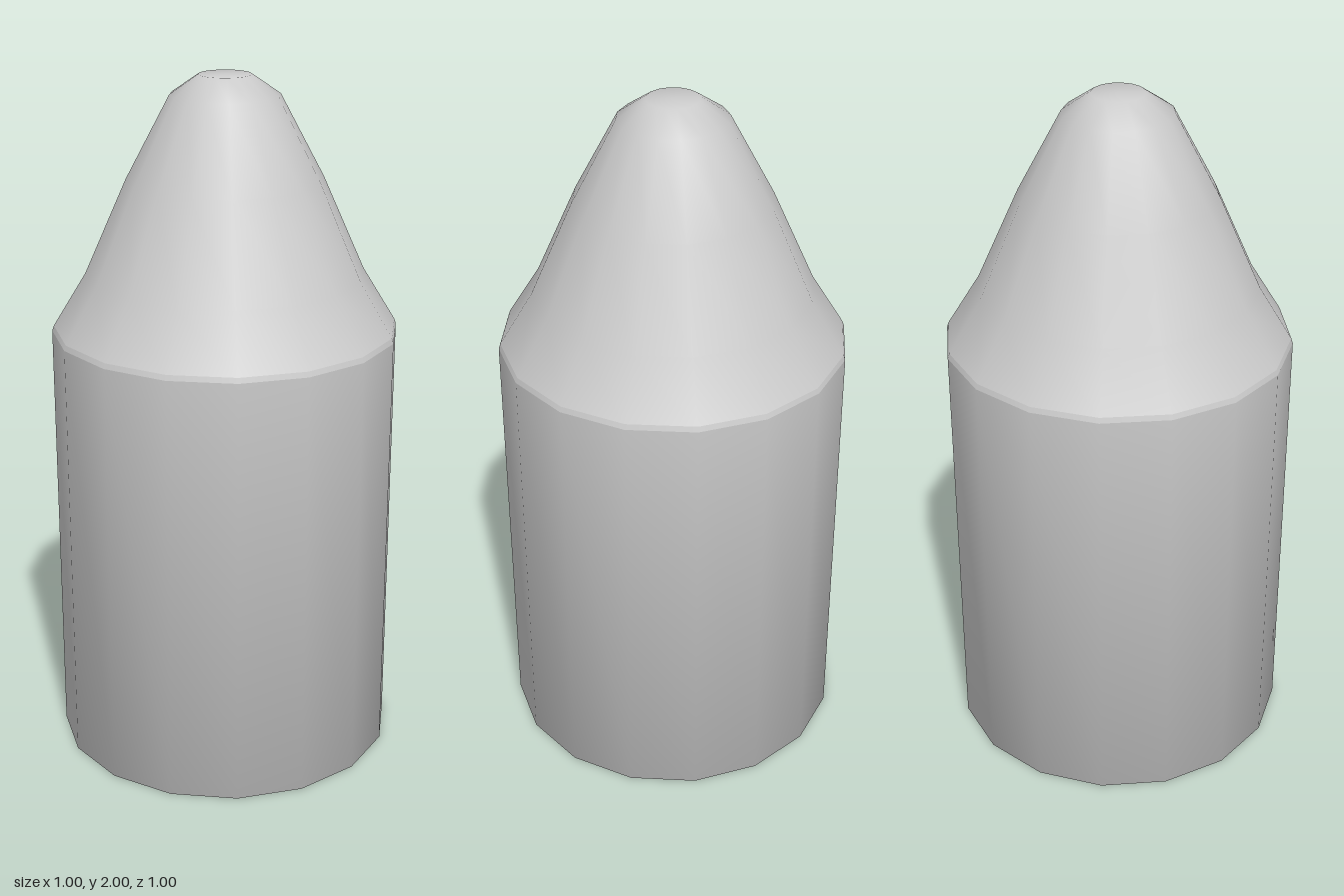
import * as THREE from 'three';

const SIDES = 16;

// Revolve a profile of [radius, height] pairs, listed from bottom to top
function revolve(name, profile, material) {
  const points = profile.map(([r, y]) => new THREE.Vector2(r, y));
  const mesh = new THREE.Mesh(new THREE.LatheGeometry(points, SIDES), material);
  mesh.name = name;
  return mesh;
}

export function createModel() {
  const group = new THREE.Group();
  group.name = 'roundNosedCylinder';
  const grey = new THREE.MeshStandardMaterial({ color: 0xcccccc });

  // Straight body with a closed base, softly shaded over its lower edge
  group.add(revolve('body', [[0, 0], [0.5, 0], [0.5, 1.27]], grey));

  // Thin seam band between body and nose
  group.add(revolve('seamBand', [[0.5, 1.27], [0.495, 1.285]], grey));

  // Tapering nose with a small flat tip
  group.add(revolve('nose', [
    [0.495, 1.285], [0.4, 1.44], [0.28, 1.71],
    [0.155, 1.945], [0.075, 2], [0, 2],
  ], grey));

  return group;
}
